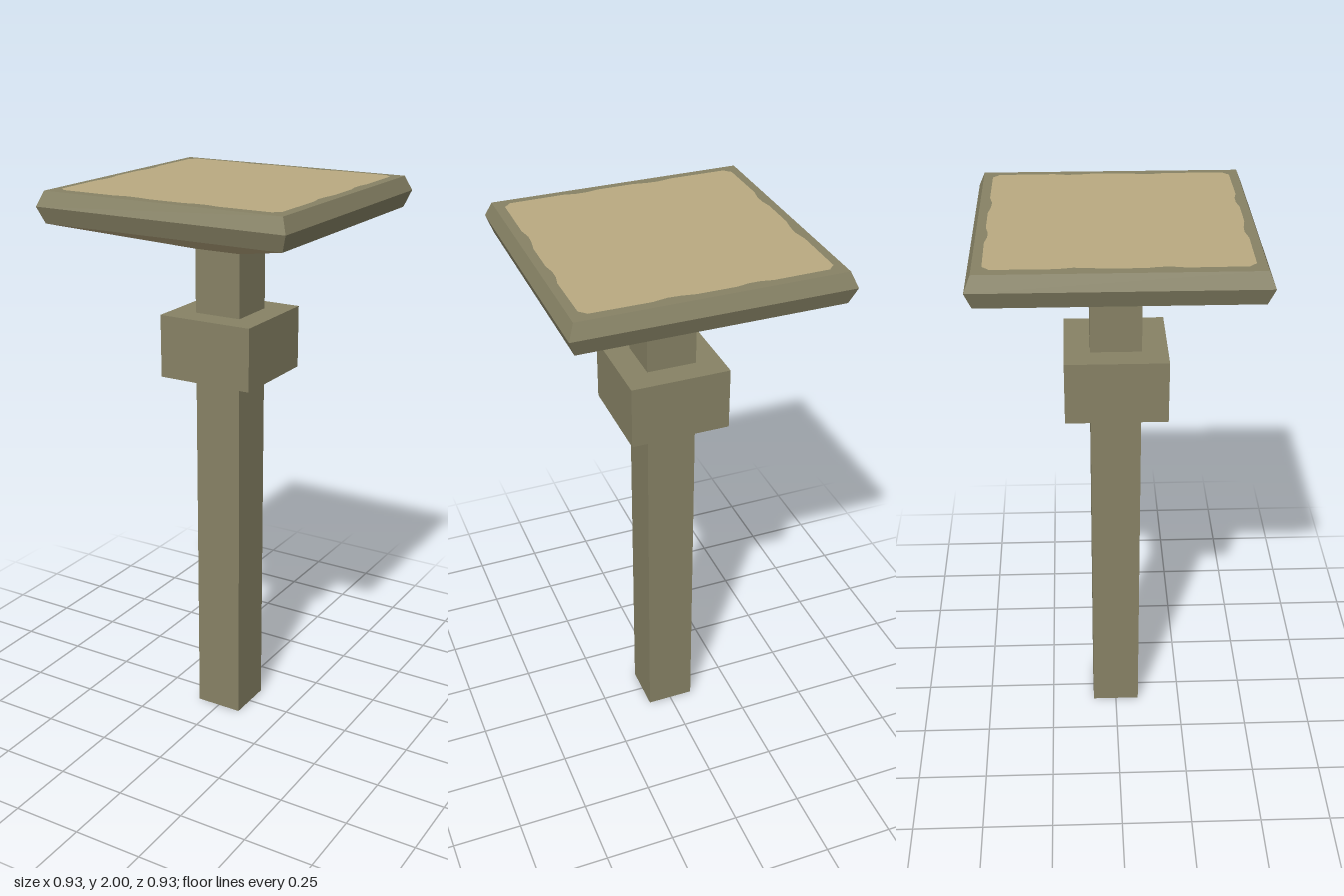
import * as THREE from 'three';

const stone = new THREE.MeshStandardMaterial({ name: 'oliveStone', color: 0x878265, flatShading: true, side: THREE.DoubleSide });
const tan = new THREE.MeshStandardMaterial({ name: 'tanStone', color: 0xbaaa81, flatShading: true, side: THREE.DoubleSide });

// Square tapered section between two heights, given half widths
function section(name, y0, half0, y1, half1, material, open = true) {
  const geometry = new THREE.CylinderGeometry(half1 * Math.SQRT2, half0 * Math.SQRT2, y1 - y0, 4, 1, open);
  geometry.rotateY(Math.PI / 4);
  geometry.translate(0, (y0 + y1) / 2, 0);
  const mesh = new THREE.Mesh(geometry, material);
  mesh.name = name;
  return mesh;
}

// Worn square outline: one side repeated around the four corners
function wornSquare() {
  const side = [
    [-0.405, 0.397], [-0.39, 0.413], [-0.2, 0.415], [-0.16, 0.407], [-0.12, 0.407], [-0.08, 0.415],
    [0.05, 0.415], [0.1, 0.407], [0.14, 0.405], [0.19, 0.414], [0.39, 0.413], [0.405, 0.397],
  ];
  const points = [];
  for (let i = 0; i < 4; i++) {
    const turn = -i * Math.PI / 2;
    for (const [x, y] of side) points.push(new THREE.Vector2(x, y).rotateAround(new THREE.Vector2(), turn));
  }
  return new THREE.Shape(points);
}

export function createModel() {
  const group = new THREE.Group();
  group.name = 'pedestal';

  // Hollow post, open at the foot
  group.add(section('post', 0, 0.088, 1.782, 0.088, stone));

  // Block around the post
  group.add(section('collar', 1.331, 0.177, 1.555, 0.177, stone, false));

  // Flared head with bevelled rim
  group.add(section('headUnderside', 1.78, 0.088, 1.89, 0.445, tan));
  group.add(section('lowerBevel', 1.89, 0.445, 1.947, 0.466, stone));
  group.add(section('upperBevel', 1.947, 0.466, 1.998, 0.445, stone));

  // Top face with worn tan inlay
  const top = new THREE.Mesh(new THREE.PlaneGeometry(0.89, 0.89).rotateX(-Math.PI / 2), stone);
  top.name = 'topFace';
  top.position.y = 1.998;
  const inlay = new THREE.Mesh(new THREE.ShapeGeometry(wornSquare()).rotateX(-Math.PI / 2), tan);
  inlay.name = 'topInlay';
  inlay.position.y = 2;
  group.add(top, inlay);

  return group;
}
